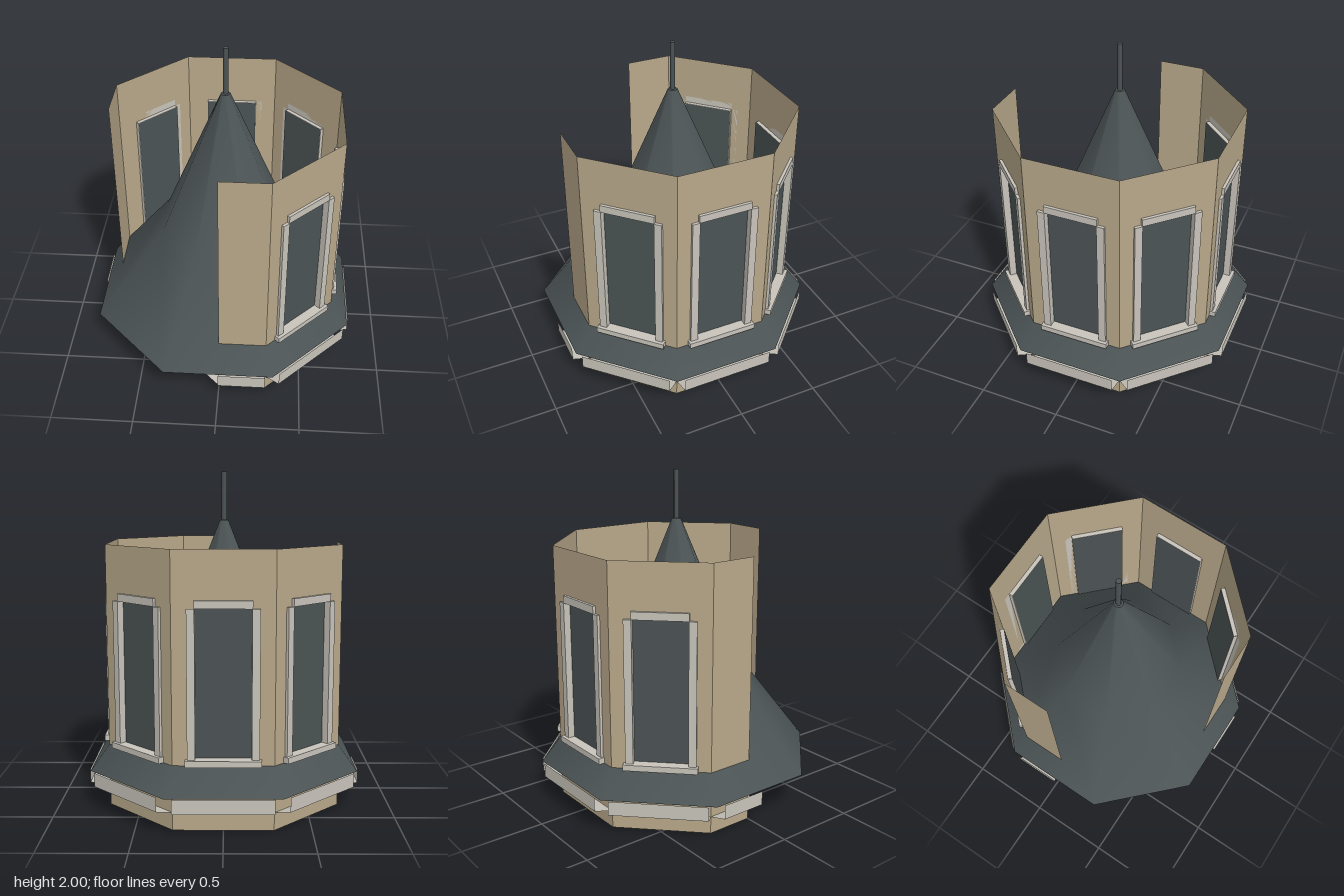
import * as THREE from 'three';

const A = 0.69;                                // wall apothem
const W = A * Math.tan(Math.PI / 8);           // half width of one wall face
const H = 1.58;                                // wall height
const OPEN = { w: 0.157, y0: 0.415, y1: 1.26 }; // window opening
const BACK = 0.665;                            // depth of the recessed pane

function material(name, color, side = THREE.FrontSide) {
  const m = new THREE.MeshStandardMaterial({ color, side });
  m.name = name;
  return m;
}

export function createModel() {
  const wallMat = material('tan wall', 0xb8a88a, THREE.DoubleSide);
  const trimMat = material('pale stone trim', 0xc8c4bb, THREE.DoubleSide);
  const roofMat = material('dark slate', 0x4c5456, THREE.DoubleSide);
  const glassMat = material('dark glass', 0x4b5354, THREE.DoubleSide);

  const model = new THREE.Group();
  model.name = 'octagonalTurret';

  function add(parent, name, geometry, mat) {
    const mesh = new THREE.Mesh(geometry, mat);
    mesh.name = name;
    parent.add(mesh);
    return mesh;
  }

  // box given by its extents
  function box(parent, name, x0, x1, y0, y1, z0, z1) {
    const g = new THREE.BoxGeometry(x1 - x0, y1 - y0, z1 - z0);
    g.translate((x0 + x1) / 2, (y0 + y1) / 2, (z0 + z1) / 2);
    return add(parent, name, g, trimMat);
  }

  // flat strip along x between two [z, y] profile points, lower point first
  function strip(x0, x1, [za, ya], [zb, yb]) {
    const g = new THREE.BufferGeometry();
    g.setAttribute('position', new THREE.Float32BufferAttribute(
      [x0, ya, za, x1, ya, za, x1, yb, zb, x0, yb, zb], 3));
    g.setIndex([0, 1, 2, 0, 2, 3]);
    g.computeVertexNormals();
    return g;
  }

  // recessed window with reveal, jambs, lintel and sill
  function addWindow(parent) {
    const win = new THREE.Group();
    win.name = 'window';
    parent.add(win);
    const { w, y0, y1 } = OPEN;
    const pane = new THREE.PlaneGeometry(2 * w, y1 - y0);
    pane.translate(0, (y0 + y1) / 2, BACK);
    add(win, 'pane', pane, glassMat);
    const t = 0.003;
    for (const s of [-1, 1]) {
      const [a, b] = s < 0 ? [-w - t, -w] : [w, w + t];
      box(win, 'sideReveal', a, b, y0, y1, BACK, A + 0.005);
      const [c, d] = s < 0 ? [-0.202, -w] : [w, 0.202];
      box(win, 'jamb', c, d, y0, y1, A, 0.707);
    }
    box(win, 'topReveal', -w, w, y1, y1 + t, BACK, A + 0.005);
    box(win, 'bottomReveal', -w, w, y0 - t, y0, BACK, A + 0.005);
    box(win, 'lintel', -0.16, 0.16, y1, 1.305, A, 0.707);
    box(win, 'sill', -0.214, 0.214, 0.38, y0, A, 0.727);
  }

  // one side of the turret, facing +z before it is turned
  function addSide(index, x0, x1, hasWindow) {
    const side = new THREE.Group();
    side.name = hasWindow ? 'windowSide' : 'halfSide';
    side.rotation.y = index * Math.PI / 4;
    model.add(side);

    const shape = new THREE.Shape([
      new THREE.Vector2(x0, 0), new THREE.Vector2(x1, 0),
      new THREE.Vector2(x1, H), new THREE.Vector2(x0, H)]);
    if (hasWindow) {
      const { w, y0, y1 } = OPEN;
      shape.holes.push(new THREE.Path([
        new THREE.Vector2(-w, y0), new THREE.Vector2(-w, y1),
        new THREE.Vector2(w, y1), new THREE.Vector2(w, y0)]));
    }
    const wall = new THREE.ShapeGeometry(shape);
    wall.translate(0, 0, A);
    add(side, 'wall', wall, wallMat);

    // open-ended band under the eave
    add(side, 'bandSoffit', strip(x0, x1, [A, 0.105], [0.81, 0.14]), trimMat);
    add(side, 'bandFace', strip(x0, x1, [0.81, 0.14], [0.81, 0.225]), trimMat);
    if (hasWindow) addWindow(side);
  }

  // five full sides and two half sides; the front right corner stays open
  addSide(0, 0, W, false);
  for (let i = 1; i <= 5; i++) addSide(i, -W, W, true);
  addSide(6, -W, 0, false);

  // underside, cut straight across the open corner
  const outline = [[0, A], [W, A], [A, W], [A, -W], [W, -A], [-W, -A], [-A, -W], [-A, 0]];
  const floor = new THREE.ShapeGeometry(new THREE.Shape(outline.map(p => new THREE.Vector2(...p))));
  floor.rotateX(Math.PI / 2);
  add(model, 'floor', floor, trimMat);

  // eight-sided flared roof, smooth shaded
  const profile = [[0.80, 0.225], [0.375, 0.82], [0.026, 1.71], [0.001, 1.715]]
    .map(([r, y]) => new THREE.Vector2(r / Math.cos(Math.PI / 8), y));
  add(model, 'roof', new THREE.LatheGeometry(profile.slice(0, 3), 8, Math.PI / 8), roofMat);
  add(model, 'roofTip', new THREE.LatheGeometry(profile.slice(2), 8, Math.PI / 8), roofMat);

  // finial rod
  const rod = new THREE.CylinderGeometry(0.016, 0.016, 0.3, 8);
  rod.translate(0, 1.85, 0);
  add(model, 'finial', rod, roofMat);

  return model;
}
